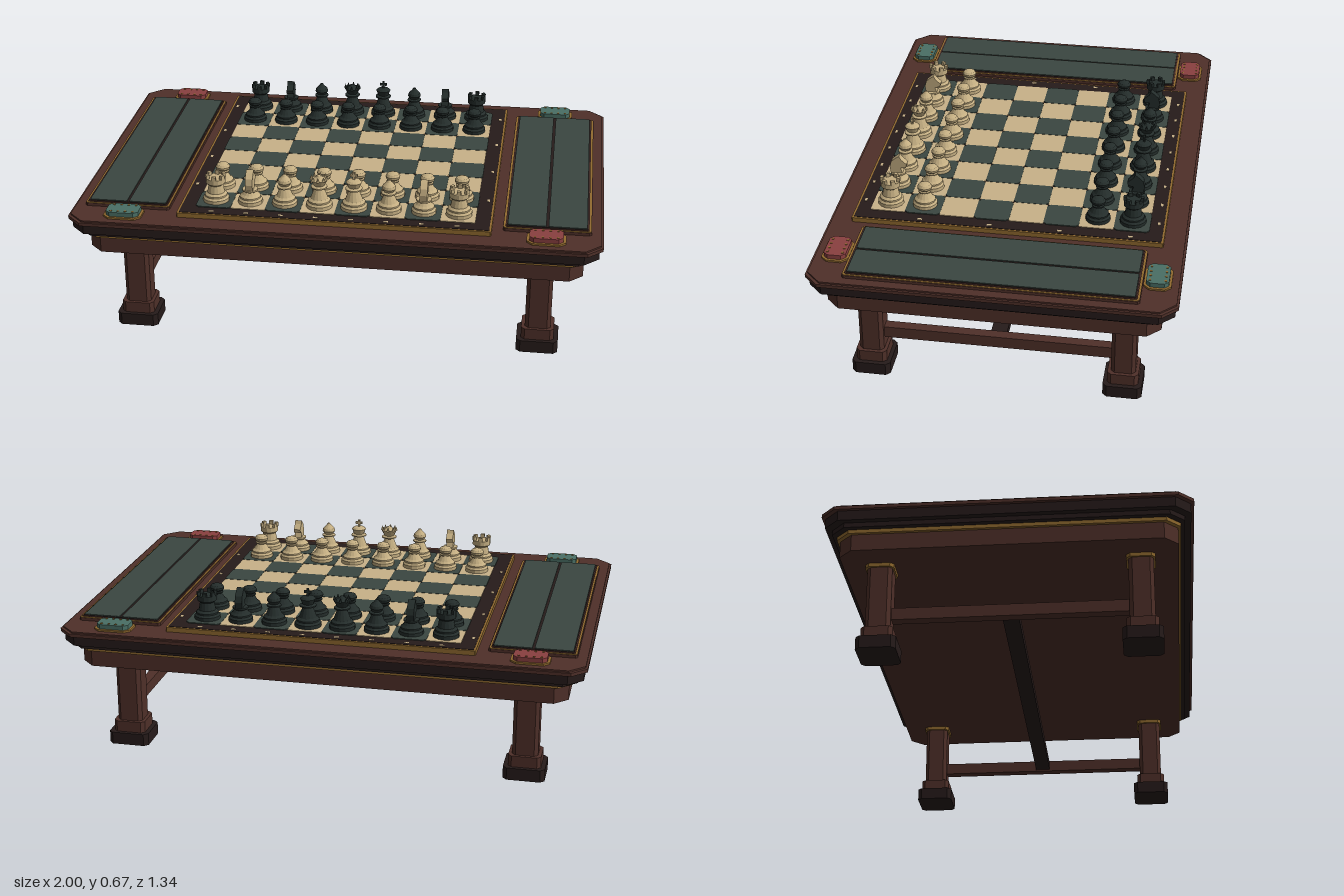
import * as THREE from 'three';

const mat = (name, color) => {
  const m = new THREE.MeshStandardMaterial({ color });
  m.name = name;
  return m;
};

export function createModel() {
  const brown = mat('walnut', 0x4f3029), ebony = mat('ebony', 0x261b1a), gold = mat('brass', 0x916a2f);
  const green = mat('green felt', 0x3a4741), cream = mat('cream square', 0xc9b289), ivory = mat('ivory piece', 0xc4ae82);
  const black = mat('black piece', 0x242d2b), teal = mat('teal plaque', 0x4a6f65), red = mat('red plaque', 0x8a4040);

  const root = new THREE.Group();
  root.name = 'chessTable';

  const group = (name, parent = root) => {
    const g = new THREE.Group();
    g.name = name;
    parent.add(g);
    return g;
  };
  const add = (parent, name, geo, material, x = 0, y = 0, z = 0) => {
    const m = new THREE.Mesh(geo, material);
    m.name = name;
    m.position.set(x, y, z);
    parent.add(m);
    return m;
  };
  const box = (parent, name, material, w, h, d, x, y, z) =>
    add(parent, name, new THREE.BoxGeometry(w, h, d), material, x, y, z);

  // Slab with cut corners, from height y0 to y1
  const slab = (parent, name, material, hx, hz, cut, y0, y1, x = 0, z = 0) => {
    const s = new THREE.Shape([
      [hx - cut, -hz], [hx, cut - hz], [hx, hz - cut], [hx - cut, hz],
      [cut - hx, hz], [-hx, hz - cut], [-hx, cut - hz], [cut - hx, -hz],
    ].map(([a, b]) => new THREE.Vector2(a, b)));
    const geo = new THREE.ExtrudeGeometry(s, { depth: y1 - y0, bevelEnabled: false });
    geo.rotateX(-Math.PI / 2);
    return add(parent, name, geo, material, x, y0, z);
  };

  // Table top and apron
  const top = group('tableTop');
  slab(top, 'apron', brown, 0.933, 0.612, 0.05, 0.35, 0.418);
  slab(top, 'brassBand', gold, 0.945, 0.622, 0.05, 0.414, 0.43);
  slab(top, 'lowerMoulding', ebony, 0.965, 0.637, 0.052, 0.428, 0.446);
  slab(top, 'upperMoulding', ebony, 0.987, 0.66, 0.055, 0.446, 0.484);
  slab(top, 'topEdge', brown, 1, 0.672, 0.056, 0.484, 0.497);
  slab(top, 'topSurface', brown, 0.992, 0.664, 0.056, 0.497, 0.503);

  // Legs
  for (const x of [-0.777, 0.777]) {
    for (const z of [-0.475, 0.475]) {
      const leg = group('leg');
      slab(leg, 'foot', ebony, 0.079, 0.073, 0.016, 0, 0.048, x, z);
      slab(leg, 'legBase', brown, 0.062, 0.058, 0.014, 0.048, 0.092, x, z);
      slab(leg, 'legShaft', brown, 0.049, 0.046, 0.014, 0.092, 0.338, x, z);
      slab(leg, 'legCollar', gold, 0.056, 0.053, 0.014, 0.336, 0.35, x, z);
    }
    box(root, 'sideStretcher', brown, 0.04, 0.046, 0.87, x, 0.158, 0);
  }
  box(root, 'longStretcher', ebony, 1.52, 0.032, 0.06, 0, 0.158, 0);

  // Side trays with two felt panels each
  for (const x of [-0.793, 0.793]) {
    const tray = group('sideTray');
    slab(tray, 'trayRim', brown, 0.163, 0.535, 0.008, 0.503, 0.514, x);
    slab(tray, 'trayTrim', gold, 0.161, 0.533, 0.008, 0.51, 0.516, x);
    slab(tray, 'trayInnerRim', brown, 0.154, 0.526, 0.006, 0.51, 0.519, x);
    slab(tray, 'trayBed', ebony, 0.15, 0.522, 0.004, 0.51, 0.521, x);
    for (const s of [-1, 1]) slab(tray, 'feltPanel', green, 0.071, 0.518, 0.004, 0.51, 0.524, x + s * 0.0755);
  }

  // Corner plaques with a ring of pale studs
  for (const sx of [-1, 1]) for (const sz of [-1, 1]) {
    const plaque = group('cornerPlaque'), x = sx * 0.792, z = sz * 0.587;
    slab(plaque, 'plaqueTrim', gold, 0.072, 0.05, 0.022, 0.503, 0.51, x, z);
    slab(plaque, 'plaqueFace', sx === sz ? red : teal, 0.062, 0.041, 0.016, 0.503, 0.527, x, z);
    for (const a of [-1, -0.33, 0.33, 1]) for (const b of [-1, 1])
      box(plaque, 'stud', gold, 0.008, 0.003, 0.008, x + a * 0.042, 0.5275, z + b * 0.028);
  }

  // Playing board
  const board = group('board'), P = 0.132;
  slab(board, 'boardTrim', gold, 0.59, 0.587, 0.004, 0.503, 0.521);
  slab(board, 'boardBorder', ebony, 0.582, 0.579, 0.004, 0.51, 0.5225);
  for (let r = 0; r < 8; r++) {
    for (let c = 0; c < 8; c++) {
      const light = (r + c) % 2 === 0, h = light ? 0.0655 : 0.067;
      slab(board, light ? 'lightSquare' : 'darkSquare', light ? cream : green, h, h, light ? 0.004 : 0.012,
        0.51, light ? 0.525 : 0.526, (c - 3.5) * P, (r - 3.5) * P);
    }
    // Pale border ticks
    for (const s of [-1, 1]) {
      const t = (r - 3.5) * P;
      box(board, 'borderTick', cream, 0.018, 0.002, 0.009, t, 0.523, s * 0.56);
      if (r % 2 === 0) box(board, 'borderTick', cream, 0.01, 0.002, 0.018, s * 0.565, 0.523, t);
    }
  }

  // Faceted turned form from [radius, height] pairs
  const turned = (pts) => {
    const geo = new THREE.LatheGeometry(pts.map(([r, y]) => new THREE.Vector2(r, y)), 14).toNonIndexed();
    geo.computeVertexNormals();
    return geo;
  };
  const foot = (r) => [[0, 0], [r, 0], [r, 0.014], [r * 0.86, 0.022], [r * 0.86, 0.028], [r * 0.66, 0.036]];
  const body = {
    pawn: turned([...foot(0.047), [0.018, 0.056], [0.024, 0.059], [0.024, 0.063], [0.018, 0.065],
      [0.027, 0.073], [0.028, 0.081], [0.022, 0.09], [0.01, 0.095], [0, 0.096]]),
    rook: turned([...foot(0.05), [0.027, 0.066], [0.037, 0.074], [0.037, 0.094], [0, 0.094]]),
    knight: turned([...foot(0.047), [0.024, 0.046], [0.03, 0.05], [0.03, 0.056], [0, 0.058]]),
    bishop: turned([...foot(0.048), [0.019, 0.066], [0.028, 0.069], [0.028, 0.074], [0.019, 0.078],
      [0.027, 0.091], [0.024, 0.102], [0.01, 0.116], [0.005, 0.124], [0, 0.126]]),
    queen: turned([...foot(0.05), [0.019, 0.074], [0.031, 0.078], [0.031, 0.083], [0.02, 0.087],
      [0.034, 0.112], [0.026, 0.112], [0.014, 0.118], [0.008, 0.126], [0, 0.129]]),
    king: turned([...foot(0.051), [0.02, 0.074], [0.032, 0.078], [0.032, 0.083], [0.021, 0.087],
      [0.03, 0.108], [0.022, 0.115], [0, 0.12]]),
  };

  // Horse head silhouette, facing -z
  const headShape = new THREE.Shape([
    [-0.026, 0.055], [0.02, 0.055], [0.012, 0.078], [0.034, 0.082], [0.036, 0.096],
    [0.014, 0.116], [0.008, 0.13], [-0.006, 0.12], [-0.024, 0.104], [-0.03, 0.08],
  ].map(([u, y]) => new THREE.Vector2(u, y)));
  const head = new THREE.ExtrudeGeometry(headShape, { depth: 0.028, bevelEnabled: false });
  head.translate(0, 0, -0.014).rotateY(Math.PI / 2);
  const merlon = new THREE.BoxGeometry(0.016, 0.016, 0.012);
  const point = new THREE.ConeGeometry(0.007, 0.018, 5);

  const makePiece = (kind, material, x, z, flip) => {
    const g = group(kind);
    g.position.set(x, 0.525, z);
    if (flip) g.rotation.y = Math.PI;
    add(g, kind + 'Body', body[kind], material);
    const ring = (name, n, geo, r, y) => {
      for (let i = 0; i < n; i++) {
        const a = (i / n) * Math.PI * 2;
        add(g, name, geo, material, Math.sin(a) * r, y, Math.cos(a) * r).rotation.y = a;
      }
    };
    if (kind === 'rook') ring('merlon', 6, merlon, 0.032, 0.101);
    if (kind === 'queen') ring('crownPoint', 8, point, 0.029, 0.119);
    if (kind === 'knight') add(g, 'horseHead', head, material);
    if (kind === 'king') {
      box(g, 'crossUpright', material, 0.009, 0.032, 0.009, 0, 0.131, 0);
      box(g, 'crossArm', material, 0.028, 0.009, 0.009, 0, 0.134, 0);
    }
  };

  // Both sides set up for play
  const rank = ['rook', 'knight', 'bishop', 'queen', 'king', 'bishop', 'knight', 'rook'];
  rank.forEach((kind, i) => {
    const x = (i - 3.5) * P;
    for (const s of [-1, 1]) {
      const m = s > 0 ? ivory : black;
      makePiece(kind, m, x, s * 3.5 * P, s < 0);
      makePiece('pawn', m, x, s * 2.5 * P, s < 0);
    }
  });

  return root;
}
